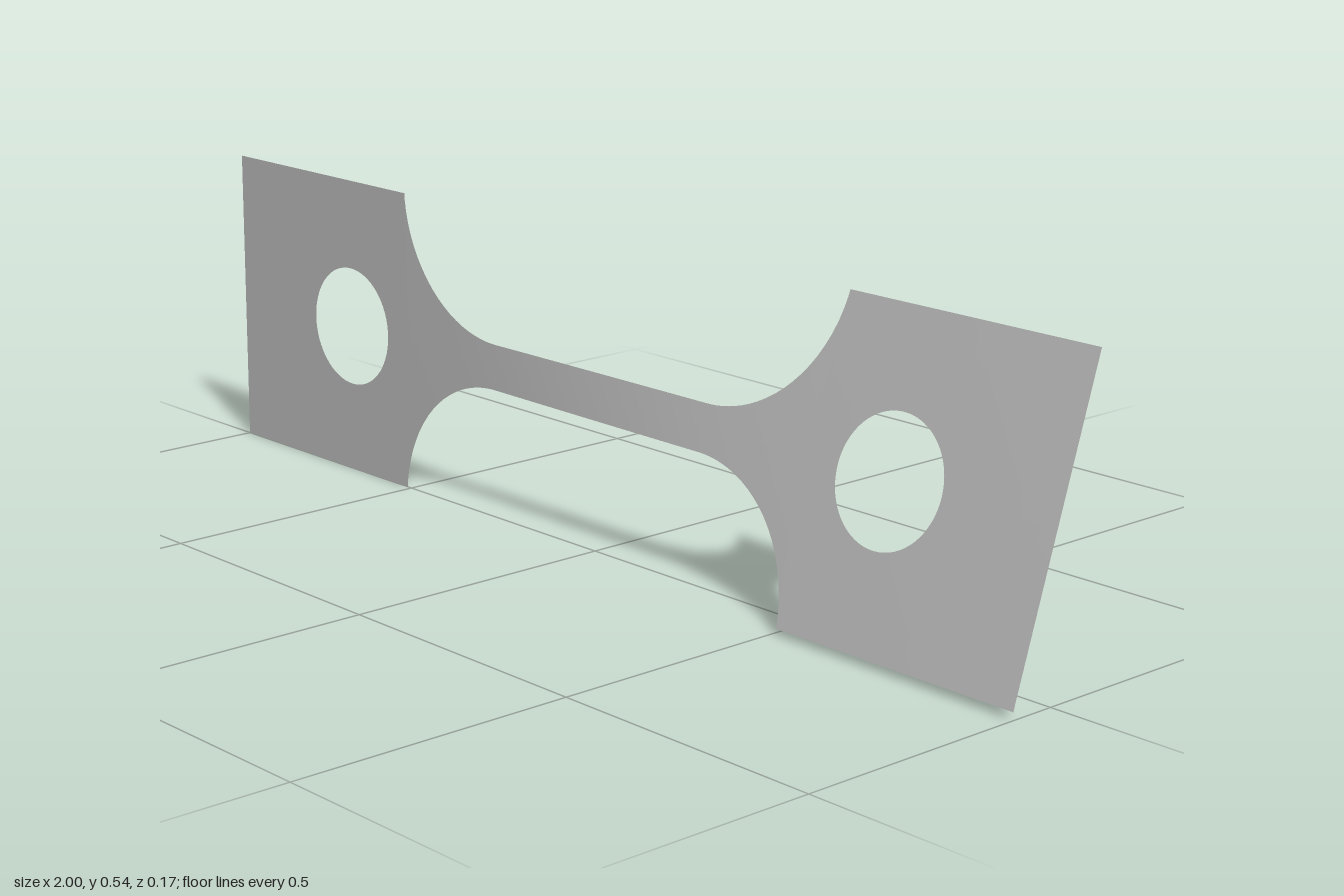
import * as THREE from 'three';

const HALF = 0.27;                          // half height of the end tabs
const NECK = 0.04;                          // half height of the gauge strip
const HOLE_X = 0.669, HOLE_R = 0.108;       // bolt holes
const ARC_X = 0.26, ARC_Y = 0.29, ARC_R = 0.25, TAB_X = 0.509; // shoulder arcs

// twist about the long axis, [x, degrees]
const TWIST = [[-1, 0], [-0.5, 0.3], [-0.35, 1.1], [-0.25, 2.6],
  [0.25, 13.7], [0.35, 15.2], [0.5, 16.2], [1, 17.8]];

function twistAt(x) {
  let i = 0;
  while (i < TWIST.length - 2 && x > TWIST[i + 1][0]) i++;
  const [x0, a0] = TWIST[i], [x1, a1] = TWIST[i + 1];
  return THREE.MathUtils.degToRad(a0 + (a1 - a0) * (x - x0) / (x1 - x0));
}

// half height of the outline at x
function outline(x) {
  const a = Math.abs(x);
  if (a >= TAB_X - 1e-6) return HALF;
  if (a <= ARC_X) return NECK;
  return Math.min(HALF, ARC_Y - Math.sqrt(Math.max(0, ARC_R ** 2 - (a - ARC_X) ** 2)));
}

// half height of the hole at x
function holeAt(x) {
  const d = Math.abs(x) - HOLE_X;
  return Math.sqrt(Math.max(0, HOLE_R ** 2 - d * d));
}

// twisted sheet over the given columns, as an upper and a lower strip
function sheet(xs) {
  const rows = 8, pos = [], index = [];
  for (const side of [1, -1]) {
    const base = pos.length / 3;
    xs.forEach((x, i) => {
      const angle = twistAt(x), inner = holeAt(x), outer = outline(x);
      for (let j = 0; j <= rows; j++) {
        const t = side > 0 ? j / rows : 1 - j / rows;
        const y = side * (inner + (outer - inner) * t);
        pos.push(x, HALF + y * Math.cos(angle), -y * Math.sin(angle));
        if (i < xs.length - 1 && j < rows) {
          const a = base + i * (rows + 1) + j, b = a + rows + 1;
          index.push(a, b, b + 1, a, b + 1, a + 1);
        }
      }
    });
  }
  const geo = new THREE.BufferGeometry();
  geo.setAttribute('position', new THREE.Float32BufferAttribute(pos, 3));
  geo.setIndex(index);
  geo.computeVertexNormals();
  return geo;
}

// evenly spaced, or cosine spaced for round edges
const even = (a, b, n) => Array.from({ length: n + 1 }, (_, i) => a + (b - a) * i / n);
const round = (a, b, n) => Array.from({ length: n + 1 },
  (_, i) => (a + b) / 2 - (b - a) / 2 * Math.cos(Math.PI * i / n));
const join = (...lists) => lists.reduce((all, l) => all.concat(l.slice(1)));
const mirror = (xs) => xs.map((x) => -x).reverse();

export function createModel() {
  const group = new THREE.Group();
  const steel = new THREE.MeshStandardMaterial({ color: 0xb8b8b8, side: THREE.DoubleSide });
  steel.name = 'grey steel';

  const tab = join(even(TAB_X, HOLE_X - HOLE_R, 3),
    round(HOLE_X - HOLE_R, HOLE_X + HOLE_R, 32), even(HOLE_X + HOLE_R, 1, 8));
  const shoulder = round(ARC_X, TAB_X, 24);
  const gauge = even(-ARC_X, ARC_X, 32);

  const parts = {
    leftTab: tab, rightTab: mirror(tab),
    leftShoulder: shoulder, rightShoulder: mirror(shoulder),
    gaugeStrip: gauge,
  };
  for (const [name, xs] of Object.entries(parts)) {
    const mesh = new THREE.Mesh(sheet(xs), steel);
    mesh.name = name;
    group.add(mesh);
  }
  return group;
}
